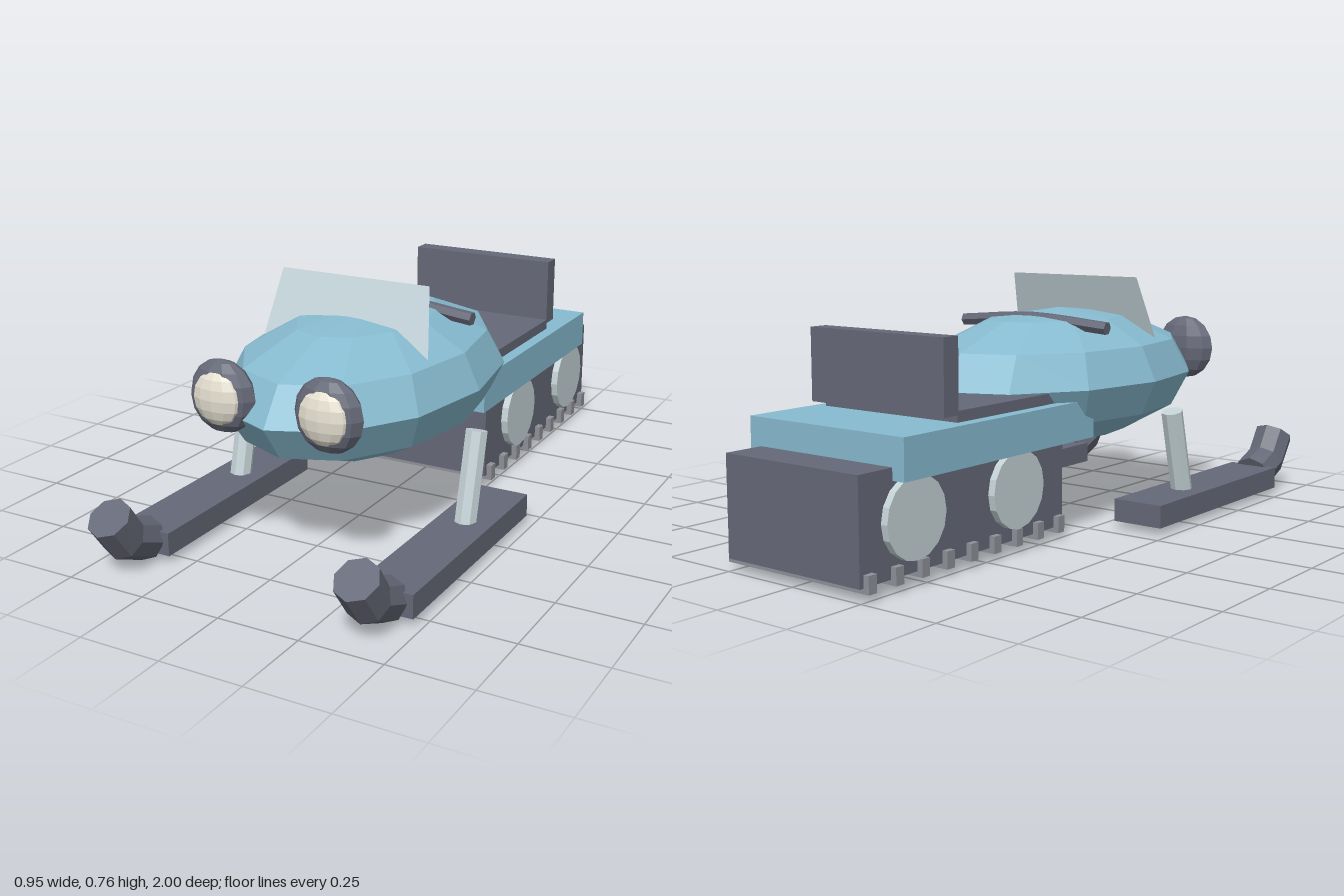
import * as THREE from 'three';

const mat = (name, color, opts = {}) => {
  const m = new THREE.MeshStandardMaterial({ color, flatShading: true, ...opts });
  m.name = name;
  return m;
};

export function createModel() {
  const model = new THREE.Group();
  model.name = 'snowVehicle';
  const blue = mat('bodyBlue', 0x87bbd0);
  const dark = mat('darkGrey', 0x656877);
  const pale = mat('paleMetal', 0xc4d2d5);
  const cleatGrey = mat('cleatGrey', 0x8e9198);
  const cream = mat('lampCream', 0xe4dfd0);
  const glass = mat('windshieldGlass', 0xc6d6dc, { side: THREE.DoubleSide });

  const add = (name, geo, material, x = 0, y = 0, z = 0, parent = model) => {
    const mesh = new THREE.Mesh(geo, material);
    mesh.name = name;
    mesh.position.set(x, y, z);
    parent.add(mesh);
    return mesh;
  };
  // Box given by its lower and upper limits on each axis
  const box = (name, material, x0, x1, y0, y1, z0, z1) =>
    add(name, new THREE.BoxGeometry(x1 - x0, y1 - y0, z1 - z0), material,
      (x0 + x1) / 2, (y0 + y1) / 2, (z0 + z1) / 2);
  const ball = (name, material, w, h, rx, ry, rz, x, y, z) =>
    add(name, new THREE.SphereGeometry(1, w, h).scale(rx, ry, rz), material, x, y, z);

  // Hood: faceted egg
  ball('hood', blue, 12, 6, 0.37, 0.215, 0.575, 0, 0.455, 0.185);

  // Rear chassis, seat and backrest
  box('chassis', blue, -0.288, 0.288, 0.303, 0.42, -0.875, -0.03);
  box('seat', dark, -0.25, 0.25, 0.41, 0.452, -0.62, -0.1);
  box('backrest', dark, -0.25, 0.25, 0.44, 0.655, -0.675, -0.615);

  // Track with cross cleats
  box('track', dark, -0.247, 0.247, 0.045, 0.338, -1, -0.135);
  for (let i = 0; i < 9; i++) {
    const z = -0.163 - i * 0.101;
    box('trackCleat', cleatGrey, -0.265, 0.265, 0.03, 0.08, z - 0.015, z + 0.015);
  }

  // Windshield: leaning trapezoid sheet
  const pane = new THREE.Shape([[-0.278, 0.56], [0.278, 0.56], [0.245, 0.77], [-0.245, 0.77]]
    .map(([x, y]) => new THREE.Vector2(x, y)));
  const paneGeo = new THREE.ShapeGeometry(pane);
  const p = paneGeo.attributes.position;
  for (let i = 0; i < p.count; i++) p.setZ(i, 0.265 + (0.77 - p.getY(i)) * 0.342);
  paneGeo.computeVertexNormals();
  add('windshield', paneGeo, glass);

  // Tube along a few points with closed ends
  const cappedTube = (name, points, segments, radius, sides, material) => {
    const group = new THREE.Group();
    group.name = name;
    const curve = new THREE.CatmullRomCurve3(points.map((v) => new THREE.Vector3(...v)));
    const tube = new THREE.TubeGeometry(curve, segments, radius, sides);
    add(name + 'Body', tube, material, 0, 0, 0, group);
    const tp = tube.attributes.position;
    for (const end of [0, segments]) {
      const ring = [];
      for (let j = 0; j <= sides; j++) {
        ring.push(new THREE.Vector3().fromBufferAttribute(tp, end * (sides + 1) + j));
      }
      const centre = curve.getPointAt(end / segments);
      const verts = [];
      for (let j = 0; j < sides; j++) {
        const pair = end ? [ring[j + 1], ring[j]] : [ring[j], ring[j + 1]];
        // Turn each cap triangle outwards
        const out = curve.getTangentAt(end / segments).multiplyScalar(end ? 1 : -1);
        const n = pair[0].clone().sub(centre).cross(pair[1].clone().sub(centre));
        if (n.dot(out) < 0) pair.reverse();
        verts.push(centre, ...pair);
      }
      const cap = new THREE.BufferGeometry().setFromPoints(verts);
      cap.computeVertexNormals();
      add(name + 'Cap', cap, material, 0, 0, 0, group);
    }
    model.add(group);
  };

  // Handlebar, bowed over the hood
  cappedTube('handlebar', [[-0.28, 0.625, 0.05], [0, 0.645, 0.035], [0.28, 0.625, 0.05]], 8, 0.021, 6, dark);

  for (const s of [1, -1]) {
    const name = s > 0 ? 'left' : 'right';
    const x = s * 0.393;

    // Headlight housing and lens
    ball(name + 'HeadlightHousing', dark, 10, 8, 0.107, 0.107, 0.05, s * 0.17, 0.508, 0.7);
    ball(name + 'HeadlightLens', cream, 12, 8, 0.08, 0.08, 0.038, s * 0.17, 0.508, 0.722);

    // Ski with upturned tip
    box(name + 'Ski', dark, x - 0.083, x + 0.083, 0.03, 0.1, 0.055, 0.8);
    cappedTube(name + 'SkiTip', [[x, 0.068, 0.795], [x, 0.104, 0.885], [x, 0.19, 0.947]], 2, 0.065, 8, dark);

    // Slanted ski strut
    const strut = add(name + 'Strut', new THREE.CylinderGeometry(0.034, 0.034, 0.275, 8), pale, x, 0.224, 0.283);
    strut.rotation.x = -0.25;

    // Track wheels
    for (const z of [-0.372, -0.805]) {
      add(name + 'TrackWheel', new THREE.CylinderGeometry(0.115, 0.115, 0.04, 16).rotateZ(Math.PI / 2),
        pale, s * 0.249, 0.197, z);
    }
  }
  return model;
}
